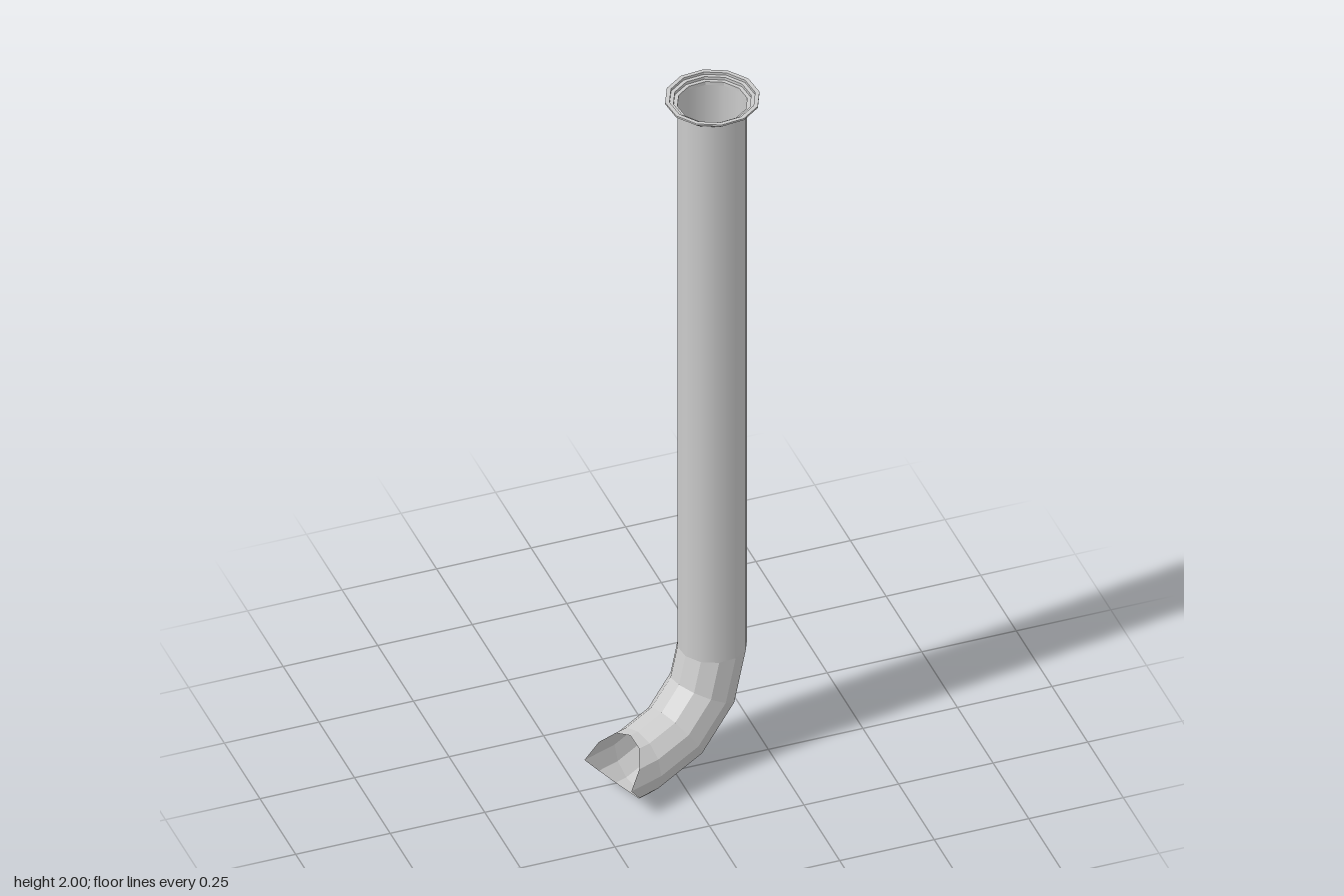
import * as THREE from 'three';

const SIDES = 12;
const R = 0.088;        // pipe radius
const BEND = 0.244;     // centreline radius of the elbow
const ELBOW_Y = 0.332;  // height where the elbow starts
const TOP = 2;

// Joins rings of points into an open, faceted skin
function loft(rings) {
  const pos = [], index = [];
  rings.forEach((ring) => ring.forEach((p) => pos.push(p.x, p.y, p.z)));
  for (let i = 0; i < rings.length - 1; i++) {
    for (let j = 0; j < SIDES; j++) {
      const k = (j + 1) % SIDES;
      const a = i * SIDES + j, b = i * SIDES + k;
      index.push(a, b, a + SIDES, b, b + SIDES, a + SIDES);
    }
  }
  const g = new THREE.BufferGeometry();
  g.setAttribute('position', new THREE.Float32BufferAttribute(pos, 3));
  g.setIndex(index);
  g.computeVertexNormals();
  return g;
}

// Pipe cross-section after turning by angle b; local +x is the outlet direction
function elbowRing(b) {
  return Array.from({ length: SIDES }, (_, j) => {
    const a = (j / SIDES) * Math.PI * 2;
    const d = BEND - R * Math.cos(a);
    return new THREE.Vector3(BEND - d * Math.cos(b), ELBOW_Y - d * Math.sin(b), R * Math.sin(a));
  });
}

export function createModel() {
  const group = new THREE.Group();
  group.name = 'drainPipe';
  const smooth = new THREE.MeshStandardMaterial({ color: 0xcccccc, side: THREE.DoubleSide });
  const faceted = new THREE.MeshStandardMaterial({ color: 0xcccccc, side: THREE.DoubleSide, flatShading: true });

  const pipe = new THREE.Group();
  pipe.name = 'pipe';
  pipe.position.set(0.118, 0, -0.043);
  pipe.rotation.y = Math.PI + 0.357;
  group.add(pipe);
  const add = (name, geometry, material) => {
    const mesh = new THREE.Mesh(geometry, material);
    mesh.name = name;
    pipe.add(mesh);
    return mesh;
  };

  // Long straight shaft
  const length = TOP - 0.025 - ELBOW_Y;
  add('shaft', new THREE.CylinderGeometry(R, R, length, SIDES, 1, true), smooth)
    .position.y = ELBOW_Y + length / 2;

  // Three-segment elbow, ending in an outlet mitred from above and below
  const rings = [0, 1, 2, 3].map((i) => elbowRing((i * Math.PI) / 6));
  const outlet = rings[3].map((p) => {
    const dy = Math.abs(p.y - (ELBOW_Y - BEND));
    return new THREE.Vector3(0.343 - 0.84 * dy, p.y, p.z);
  });
  add('elbow', loft([...rings, outlet]), faceted);

  // Flared collar with a stepped mouth
  const profile = [
    [R, 1.975], [0.093, 1.975], [0.119, 1.995], [0.119, TOP], [0.108, TOP],
    [0.108, 1.993], [0.098, 1.993], [0.098, 1.985], [R, 1.985], [R, 1.975],
  ].map(([x, y]) => new THREE.Vector2(x, y));
  add('collar', new THREE.LatheGeometry(profile, SIDES), faceted);

  return group;
}
